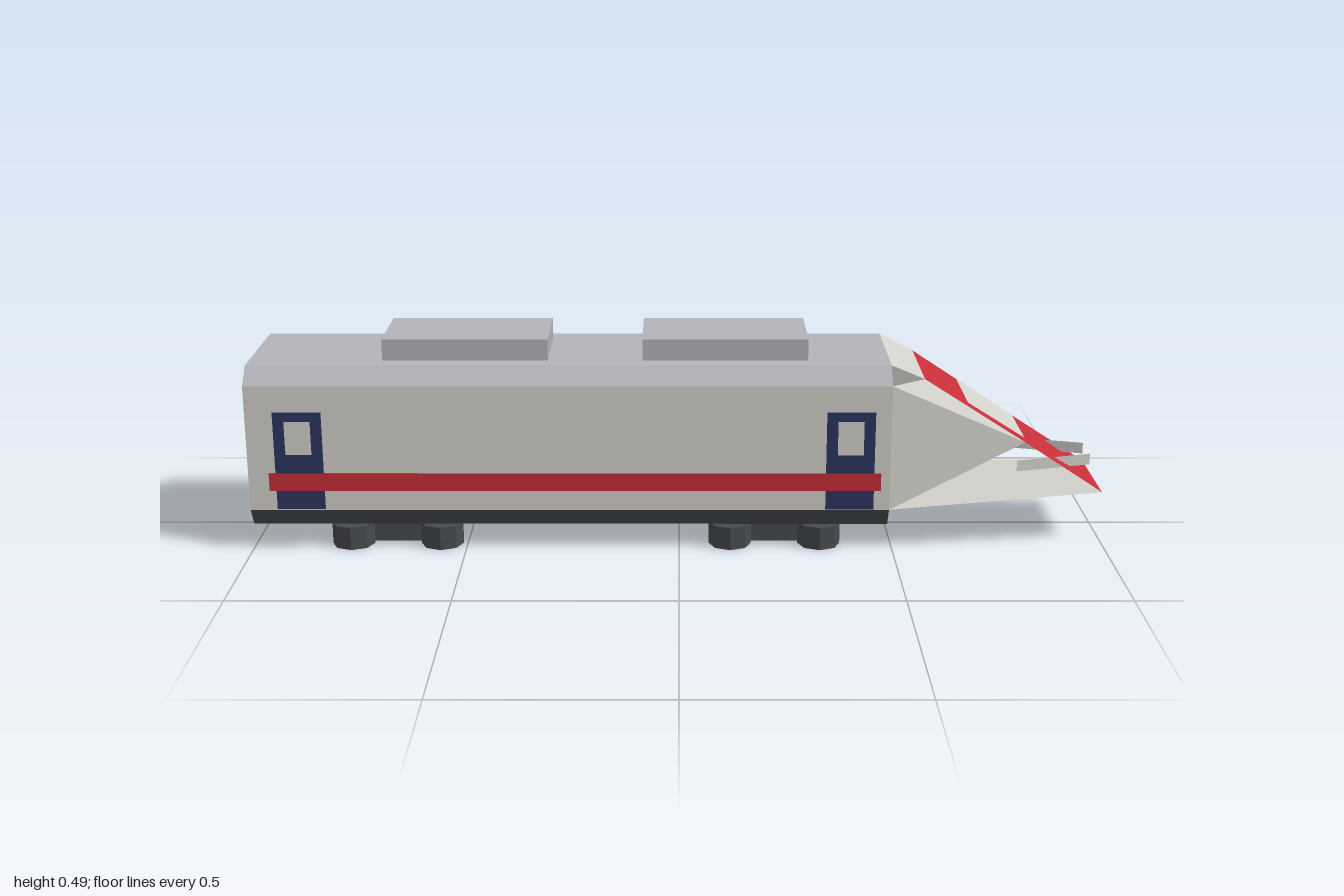
import * as THREE from 'three';

const mat = (name, color) => new THREE.MeshStandardMaterial({ name, color, side: THREE.DoubleSide, flatShading: true });

export function createModel() {
  const group = new THREE.Group();
  group.name = 'trainCar';
  const cream = mat('paleGrey', 0xd2d0ca);
  const grey = mat('roofGrey', 0xb2b4ba);
  const red = mat('red', 0xc62f39);
  const blue = mat('navy', 0x2c3660);
  const dark = mat('darkGrey', 0x464a4e);

  const add = (name, geometry, material) => {
    const mesh = new THREE.Mesh(geometry, material);
    mesh.name = name;
    group.add(mesh);
    return mesh;
  };
  // Box given by its limits on each axis
  const box = (name, material, [x0, x1], [y0, y1], [z0, z1]) =>
    add(name, new THREE.BoxGeometry(x1 - x0, y1 - y0, z1 - z0), material)
      .position.set((x0 + x1) / 2, (y0 + y1) / 2, (z0 + z1) / 2);
  // Symmetric trapezoid section swept along the car body
  const trapezoid = (name, material, y0, w0, y1, w1) => {
    const shape = new THREE.Shape([[-w0, y0], [w0, y0], [w1, y1], [-w1, y1]].map(p => new THREE.Vector2(...p)));
    const geometry = new THREE.ExtrudeGeometry(shape, { depth: 1.49, bevelEnabled: false });
    geometry.rotateY(Math.PI / 2).translate(-1, 0, 0);
    add(name, geometry, material);
  };
  // Flat fan through a few corner points, counter-clockwise from outside
  const panel = (name, material, points) => {
    const flat = [];
    for (let i = 1; i < points.length - 1; i++) flat.push(...points[0], ...points[i], ...points[i + 1]);
    const geometry = new THREE.BufferGeometry();
    geometry.setAttribute('position', new THREE.Float32BufferAttribute(flat, 3));
    geometry.computeVertexNormals();
    add(name, geometry, material);
  };

  // Car body with navy end walls, skirt and chamfered roof
  box('body', [blue, blue, cream, cream, cream, cream], [-1, 0.49], [0.1, 0.4], [-0.188, 0.188]);
  trapezoid('skirt', dark, 0.055, 0.16, 0.1, 0.188);
  trapezoid('roof', grey, 0.4, 0.188, 0.438, 0.146);

  // Roof equipment
  for (const x of [-0.69, -0.085]) box('roofUnit', grey, [x, x + 0.385], [0.438, 0.488], [-0.103, 0.103]);

  // Doors, door windows and side stripes
  for (const side of [1, -1]) {
    const plate = (name, material, xs, ys, out) => {
      const z = [side * 0.187, side * (0.188 + out)].sort((a, b) => a - b);
      box(name, material, xs, ys, z);
    };
    plate('stripe', red, [-0.952, 0.469], [0.147, 0.19], side > 0 ? 0.003 : 0.001);
    for (const x of [-0.936, 0.341]) {
      plate('door', blue, [x, x + 0.112], [0.102, 0.337], 0.002);
      plate('doorWindow', cream, [x + 0.026, x + 0.086], [0.235, 0.315], 0.003);
    }
  }

  // Bogies with octagonal corner blocks
  for (const x of [-0.665, 0.225]) {
    box('bogieFrame', dark, [x - 0.13, x + 0.13], [0, 0.055], [-0.127, 0.127]);
    for (const dx of [-0.105, 0.105]) for (const z of [-0.14, 0.14]) {
      add('bogieBlock', new THREE.CylinderGeometry(0.05, 0.05, 0.055, 8), dark).position.set(x + dx, 0.0275, z);
    }
  }

  // Wedge nose: key points for one side
  const flip = ([x, y, z]) => [x, y, -z];
  const top = [0.49, 0.438, 0.146];
  const shoulder = [0.49, 0.4, 0.188];
  const brow = [0.57, 0.4, 0.128];
  const cheek = [0.813, 0.242, 0.115];
  const sill = [0.49, 0.1, 0.188];
  const tip = [1, 0.12, 0.121];
  panel('noseRoof', cream, [top, brow, flip(brow), flip(top)]);
  panel('windscreenSurround', red, [brow, cheek, flip(cheek), flip(brow)]);
  panel('noseFront', red, [cheek, tip, flip(tip), flip(cheek)]);
  panel('noseFloor', cream, [sill, flip(sill), flip(tip), tip]);
  panel('noseSideUpper', cream, [shoulder, cheek, brow]);
  panel('noseSideLower', cream, [shoulder, sill, cheek]);
  panel('noseSideUpper', cream, [shoulder, brow, cheek].map(flip));
  panel('noseSideLower', cream, [shoulder, cheek, sill].map(flip));

  // Windscreen just above the sloping front
  const w0 = [0.676, 0.336, 0.103], w1 = [0.815, 0.246, 0.092];
  panel('windscreen', cream, [w0, w1, flip(w1), flip(w0)]);

  // Upright headlight blades piercing the nose
  const blade = [[0.8, 0.163, 0.094], [0.983, 0.163, 0.042], [0.983, 0.19, 0.042], [0.8, 0.19, 0.094]];
  panel('headlight', cream, blade);
  panel('headlight', cream, blade.map(flip).reverse());

  return group;
}
